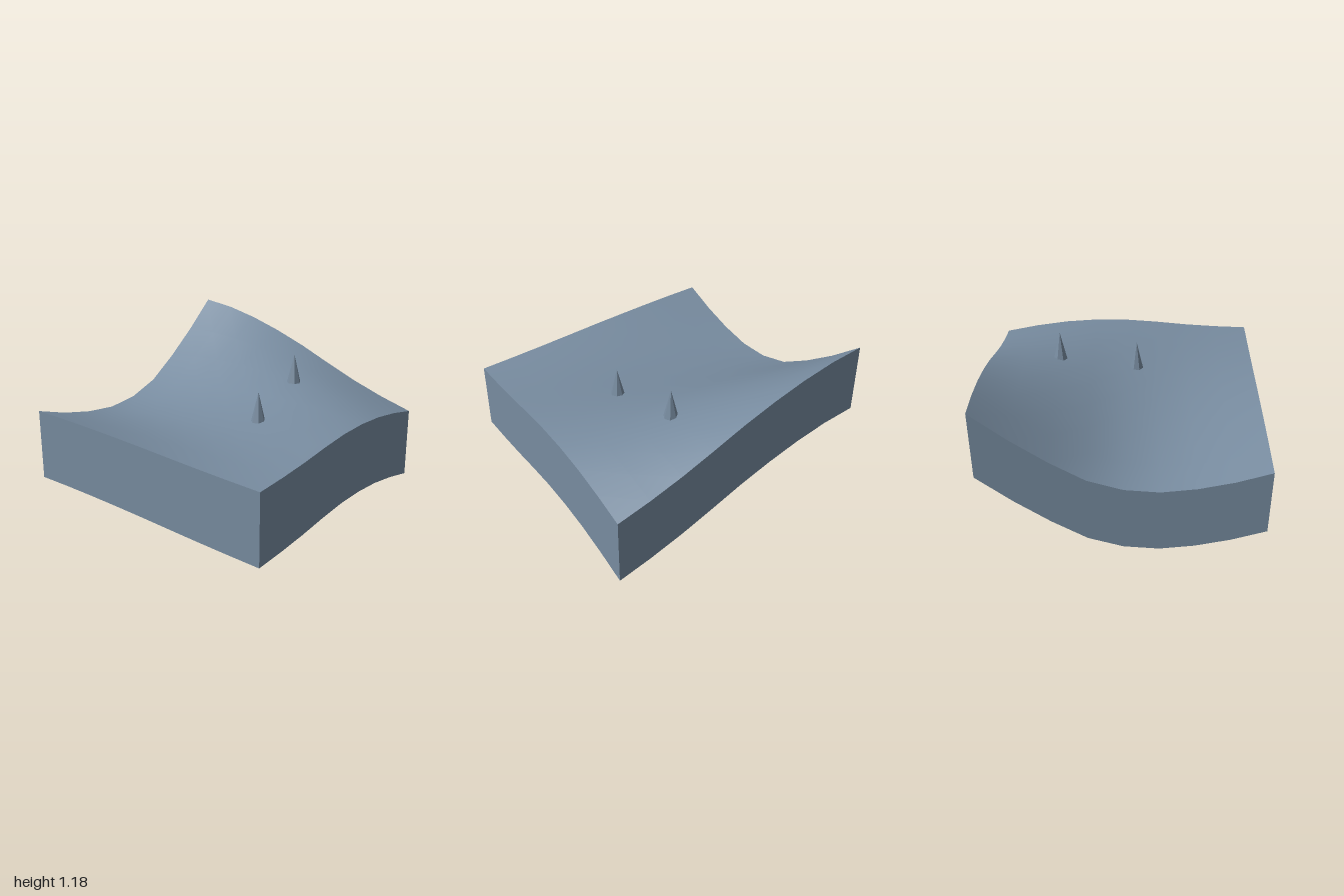
import * as THREE from 'three';

const DEPTH = 0.53;
// Profiles sampled every 0.25 from -1 to 1
const FRONT = [0.62, 0.63, 0.647, 0.672, 0.69, 0.69, 0.67, 0.63, 0.575];
const BACK = [0.71, 0.625, 0.565, 0.533, 0.553, 0.633, 0.79, 0.975, 1.185];
const BLEND = [1, 0.951, 0.861, 0.738, 0.59, 0.418, 0.254, 0.115, 0];
const RIDGE = [0, 0, 0.003, 0.02, 0.045, 0.07, 0.085, 0.047, 0];

function sample(list, t) {
  const f = THREE.MathUtils.clamp((t + 1) * 4, 0, 8);
  const i = Math.min(7, Math.floor(f));
  return THREE.MathUtils.lerp(list[i], list[i + 1], f - i);
}

// Ground height: front profile blends into the back one, with a ridge between
function height(x, z) {
  return THREE.MathUtils.lerp(sample(FRONT, x), sample(BACK, x), sample(BLEND, z))
    + sample(RIDGE, x) * (1 - z * z);
}

export function createModel() {
  const group = new THREE.Group();
  const slate = new THREE.MeshStandardMaterial({ color: 0x788ca0, side: THREE.DoubleSide });
  slate.name = 'slate';

  const add = (name, geometry) => {
    const mesh = new THREE.Mesh(geometry, slate);
    mesh.name = name;
    group.add(mesh);
    return mesh;
  };

  // Rolling ground surface
  const ground = new THREE.PlaneGeometry(2, 2, 8, 8).rotateX(-Math.PI / 2);
  const p = ground.attributes.position;
  for (let i = 0; i < p.count; i++) p.setY(i, height(p.getX(i), p.getZ(i)));
  ground.computeVertexNormals();
  add('groundSurface', ground);

  // Side walls follow the ground's edge; the underside stays open
  ['frontWall', 'leftWall', 'backWall', 'rightWall'].forEach((name, k) => {
    const wall = new THREE.PlaneGeometry(2, 1, 8, 1).translate(0, 0, 1).rotateY(k * Math.PI / 2);
    const q = wall.attributes.position;
    for (let i = 0; i < q.count; i++) {
      const drop = q.getY(i) < 0 ? DEPTH : 0;
      q.setY(i, height(q.getX(i), q.getZ(i)) - drop);
    }
    add(name, wall);
  });

  // Faceted pointed trees, standing on the slope
  for (const [x, y, z] of [[0.497, 0.795, 0.25], [-0.087, 0.66, 0.33]]) {
    const cone = new THREE.ConeGeometry(0.053, 0.225, 7).toNonIndexed();
    cone.computeVertexNormals();
    add('tree', cone).position.set(x, y + 0.1125, z);
  }

  return group;
}
